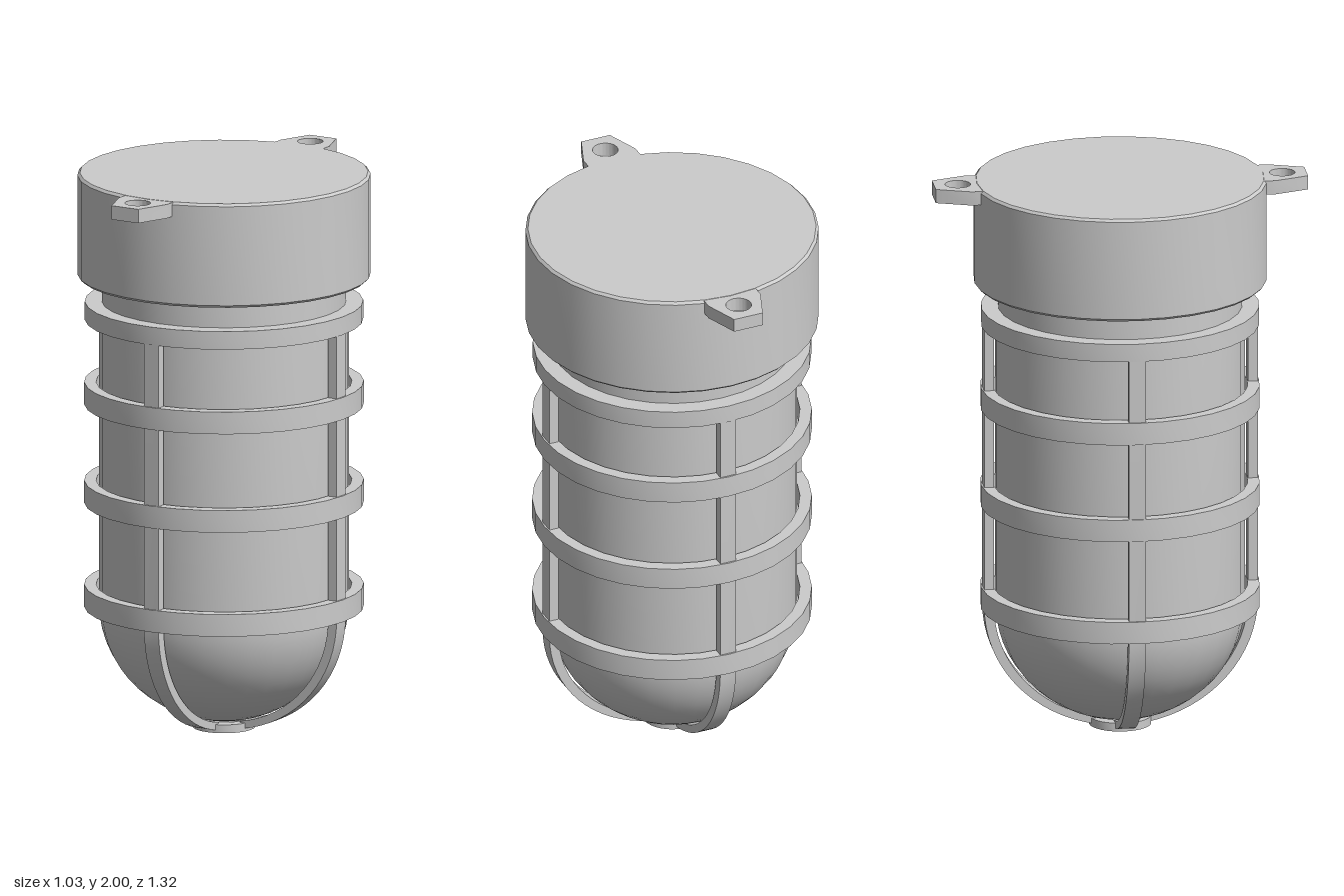
import * as THREE from 'three';
import { toCreasedNormals } from 'three/addons/utils/BufferGeometryUtils.js';

const SEGMENTS = 32;

export function createModel() {
  const model = new THREE.Group();
  model.name = 'cagedLamp';
  const material = new THREE.MeshStandardMaterial({ color: 0xcccccc });

  const add = (name, geometry) => {
    const mesh = new THREE.Mesh(toCreasedNormals(geometry, 0.6), material);
    mesh.name = name;
    model.add(mesh);
    return mesh;
  };
  // Profiles run counterclockwise in (radius, height)
  const turn = (name, profile) =>
    add(name, new THREE.LatheGeometry(profile.map(([r, y]) => new THREE.Vector2(r, y)), SEGMENTS));
  const ring = (name, inner, outer, y0, y1) =>
    turn(name, [[inner, y0], [outer, y0], [outer, y1], [inner, y1], [inner, y0]]);

  // Housing with slightly softened edges, and the neck below it
  turn('housing', [[0, 1.625], [0.507, 1.625], [0.516, 1.634], [0.516, 1.991], [0.507, 2], [0, 2]]);
  turn('neck', [[0, 1.45], [0.43, 1.45], [0.43, 1.64], [0, 1.64]]);

  // Glass jar: domed bottom and straight wall
  const glass = [];
  for (let i = 0; i <= 14; i++) {
    const a = (i / 14) * Math.PI / 2;
    glass.push([0.44 * Math.sin(a), 0.45 - 0.42 * Math.cos(a)]);
  }
  turn('glass', [...glass, [0.44, 1.5], [0, 1.5]]);

  // Cage hoops
  ring('topHoop', 0.425, 0.49, 1.47, 1.535);
  [[1.165, 1.245], [0.81, 0.89], [0.435, 0.515]].forEach(([y0, y1], i) =>
    ring('hoop' + (i + 1), 0.45, 0.492, y0, y1));
  ring('bottomRing', 0.07, 0.11, 0, 0.03);

  // Cage bars: straight, then curving under the dome to the bottom ring
  const bar = new THREE.Shape();
  const end = Math.acos(0.09 / 0.485);
  const steps = 16;
  bar.moveTo(0.45, 1.5);
  for (let i = 0; i <= steps; i++) {
    const a = (i / steps) * end;
    bar.lineTo(0.45 * Math.cos(a), 0.45 - 0.423 * Math.sin(a));
  }
  for (let i = steps; i >= 0; i--) {
    const a = (i / steps) * end;
    bar.lineTo(0.485 * Math.cos(a), 0.45 - 0.45 * Math.sin(a));
  }
  bar.lineTo(0.485, 1.5);
  const barGeometry = new THREE.ExtrudeGeometry(bar, { depth: 0.06, bevelEnabled: false });
  barGeometry.translate(0, 0, -0.03);
  for (let i = 0; i < 4; i++) {
    add('cageBar' + (i + 1), barGeometry).rotation.y = i * Math.PI / 2;
  }

  // Mounting lugs with screw holes, front and back
  const lug = new THREE.Shape([
    [-0.1, -0.47], [-0.1, -0.54], [-0.055, -0.66], [0.055, -0.66], [0.1, -0.54], [0.1, -0.47],
  ].map(([x, y]) => new THREE.Vector2(x, y)));
  lug.holes.push(new THREE.Path().absarc(0, -0.575, 0.045, 0, Math.PI * 2, true));
  const lugGeometry = new THREE.ExtrudeGeometry(lug, { depth: 0.05, bevelEnabled: false, curveSegments: 24 });
  lugGeometry.rotateX(-Math.PI / 2).translate(0, 1.949, 0);
  add('frontLug', lugGeometry);
  add('backLug', lugGeometry).rotation.y = Math.PI;

  return model;
}
